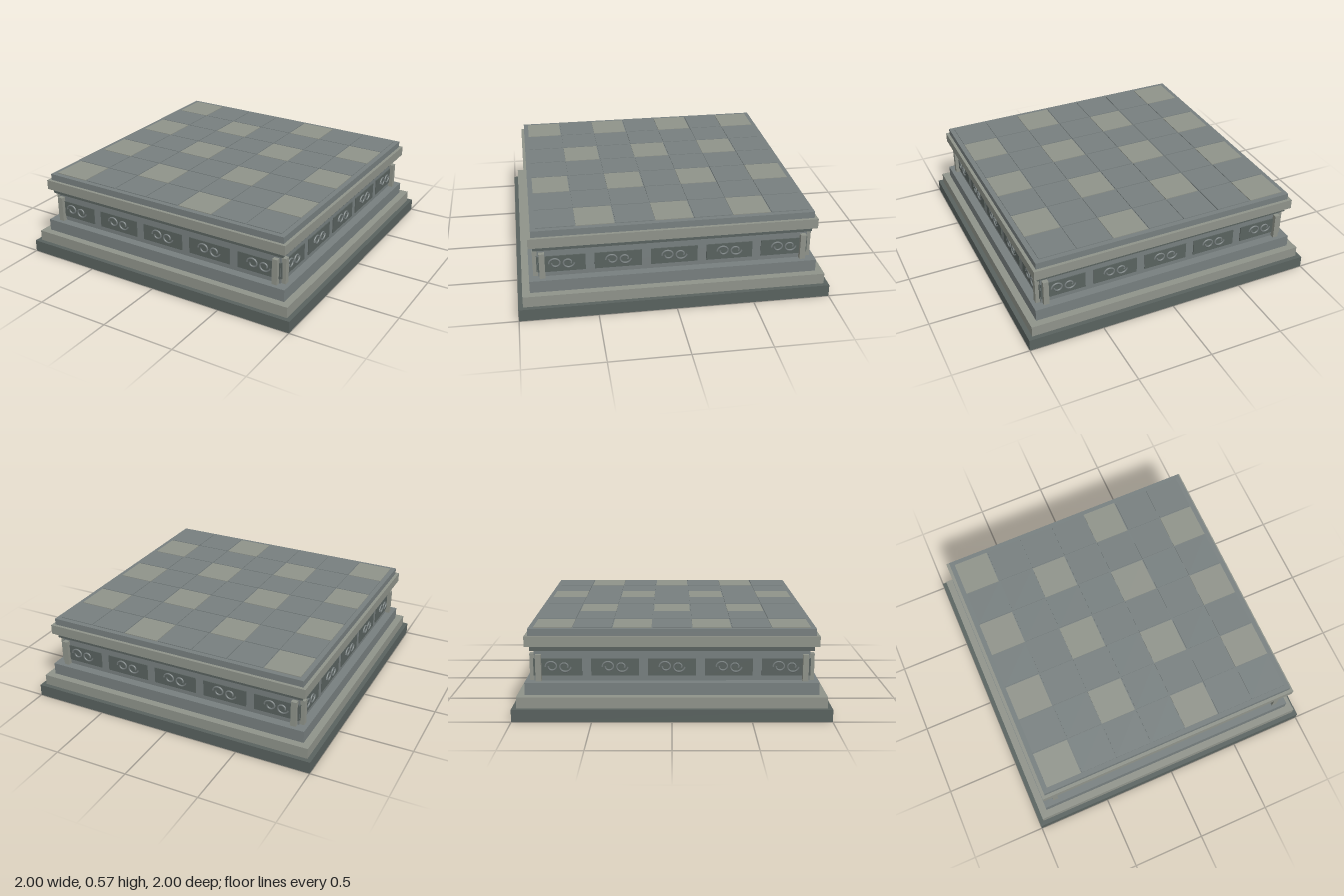
import * as THREE from 'three';

const stone = (color) => new THREE.MeshStandardMaterial({ color });

export function createModel() {
  const dark = stone(0x59625f), mid = stone(0x777f7f), light = stone(0x8f938a);
  const model = new THREE.Group();
  model.name = 'stonePlatform';

  const box = (parent, name, [w, h, d], [x, y, z], material) => {
    const mesh = new THREE.Mesh(new THREE.BoxGeometry(w, h, d), material);
    mesh.name = name;
    mesh.position.set(x, y, z);
    parent.add(mesh);
    return mesh;
  };

  // Stacked square courses: name, half width, bottom, top, material
  const courses = [
    ['plinth', 1, 0, 0.08, dark],
    ['lowerStep', 0.97, 0.08, 0.152, light],
    ['upperStep', 0.922, 0.152, 0.232, mid],
    ['waist', 0.865, 0.232, 0.428, mid],
    ['neckMoulding', 0.89, 0.428, 0.462, dark],
    ['cornice', 0.918, 0.462, 0.527, light],
    ['topSlab', 0.897, 0.527, 0.57, mid],
  ];
  for (const [name, half, y0, y1, material] of courses) {
    box(model, name, [half * 2, y1 - y0, half * 2], [0, (y0 + y1) / 2, 0], material);
  }

  // Paving of 7 x 7 tiles with a repeating pattern of pale ones
  const paving = new THREE.Group();
  paving.name = 'paving';
  model.add(paving);
  const pitch = 0.248;
  for (let row = 0; row < 7; row++) {
    for (let col = 0; col < 7; col++) {
      const material = (col + 2 * row) % 4 === 0 ? light : mid;
      box(paving, 'tile', [0.241, 0.012, 0.241],
        [(col - 3) * pitch, 0.569, (row - 3) * pitch], material);
    }
  }

  // Carved scroll: a tube winding inwards
  const points = [];
  for (let i = 0; i <= 16; i++) {
    const t = i / 16;
    const angle = Math.PI - t * Math.PI * 2.1;
    const radius = 0.04 - 0.021 * t;
    points.push(new THREE.Vector3(Math.cos(angle) * radius, Math.sin(angle) * radius * 0.9, 0));
  }
  const scrollGeometry = new THREE.TubeGeometry(new THREE.CatmullRomCurve3(points), 32, 0.006, 6);

  // Four equal sides with framed panels, paired scrolls and corner posts
  for (let s = 0; s < 4; s++) {
    const side = new THREE.Group();
    side.name = 'side';
    side.rotation.y = s * Math.PI / 2;
    model.add(side);
    for (let i = -2; i <= 2; i++) {
      const x = i * 0.357;
      box(side, 'panel', [0.3, 0.11, 0.012], [x, 0.319, 0.865], dark);
      for (const dir of [-1, 1]) {
        const scroll = new THREE.Mesh(scrollGeometry, mid);
        scroll.name = 'scroll';
        scroll.position.set(x + dir * 0.041, 0.323, 0.873);
        if (dir > 0) scroll.rotation.z = Math.PI;
        side.add(scroll);
      }
    }
    for (const dir of [-1, 1]) {
      box(side, 'cornerPost', [0.036, 0.172, 0.04], [dir * 0.837, 0.318, 0.875], light);
    }
  }
  return model;
}
